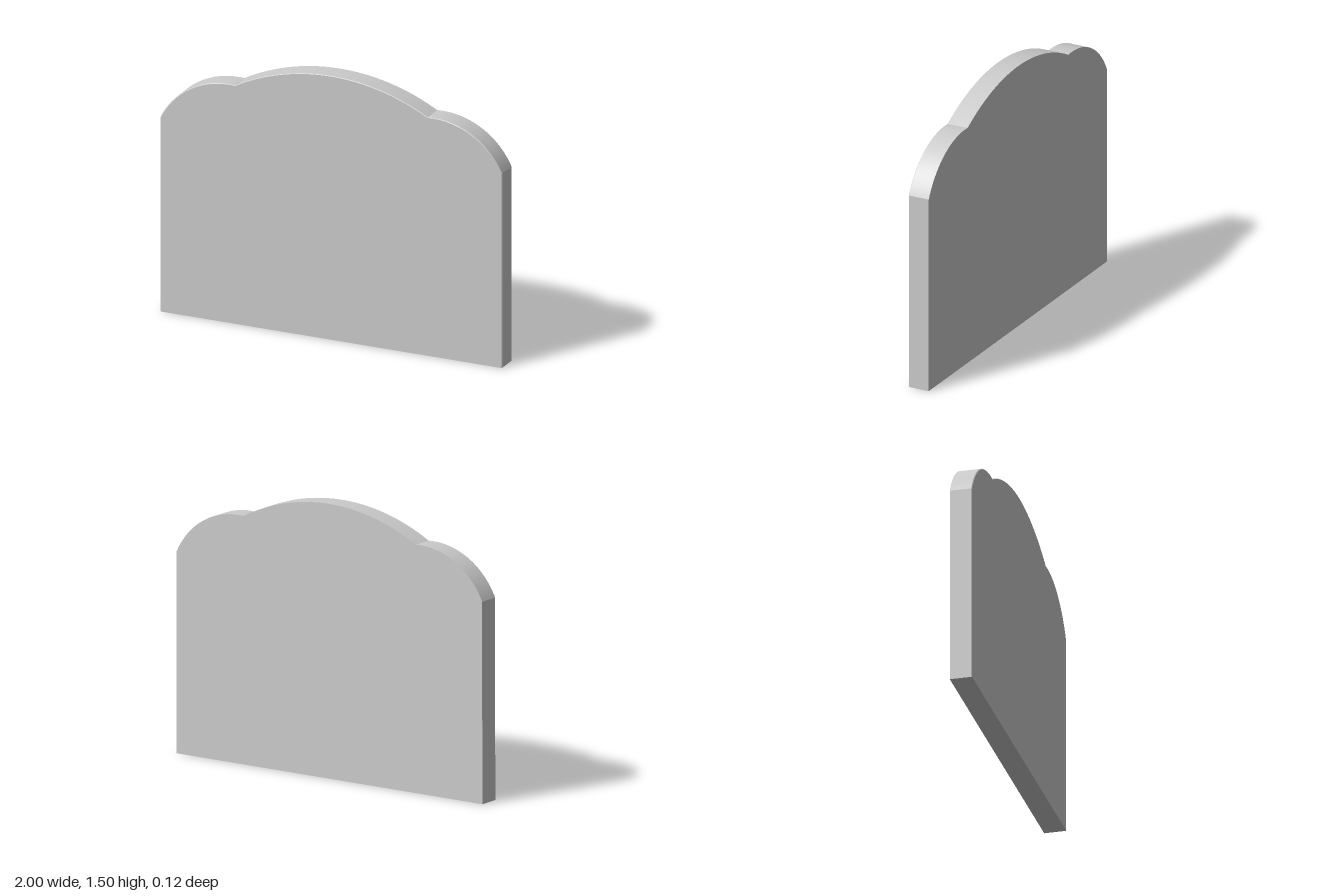
import * as THREE from 'three';
import { toCreasedNormals } from 'three/addons/utils/BufferGeometryUtils.js';

const HALF_DEPTH = 0.061;
const BEVEL = 0.004;

// Panel outline: straight sides, rounded shoulders and a wide shallow crown
function outline() {
  const shoulder = { x: 0.6, y: 0.914, r: 0.443 };
  const crown = { y: 0.327, r: 1.173 };
  const notch = { x: 0.565, y: 1.355 };
  const outer = Math.atan2(1.105 - shoulder.y, 1 - shoulder.x);
  const inner = Math.atan2(notch.y - shoulder.y, notch.x - shoulder.x);
  const sweep = Math.atan2(notch.y - crown.y, notch.x);

  const shape = new THREE.Shape();
  shape.moveTo(-1, 0);
  shape.lineTo(1, 0);
  shape.lineTo(1, 1.105);
  shape.absarc(shoulder.x, shoulder.y, shoulder.r, outer, inner, false);
  shape.absarc(0, crown.y, crown.r, sweep, Math.PI - sweep, false);
  shape.absarc(-shoulder.x, shoulder.y, shoulder.r, Math.PI - inner, Math.PI - outer, false);
  shape.lineTo(-1, 0);
  return shape;
}

export function createModel() {
  const group = new THREE.Group();
  group.name = 'headboard';

  let geometry = new THREE.ExtrudeGeometry(outline(), {
    depth: 2 * HALF_DEPTH, steps: 2, bevelEnabled: false, curveSegments: 32,
  });
  geometry.translate(0, 0, -HALF_DEPTH);

  // Slide the middle ring forward and shrink the front ring for a fine front chamfer
  const p = geometry.attributes.position;
  for (let i = 0; i < p.count; i++) {
    const z = p.getZ(i);
    if (Math.abs(z) < 0.01) p.setZ(i, HALF_DEPTH - BEVEL);
    else if (z > 0) p.setXY(i, p.getX(i) * (1 - BEVEL), p.getY(i) * (1 - BEVEL / 2));
  }
  geometry = toCreasedNormals(geometry, 0.3);

  const panel = new THREE.Mesh(geometry, new THREE.MeshStandardMaterial({ color: 0xcccccc }));
  panel.name = 'headboardPanel';
  group.add(panel);
  return group;
}
